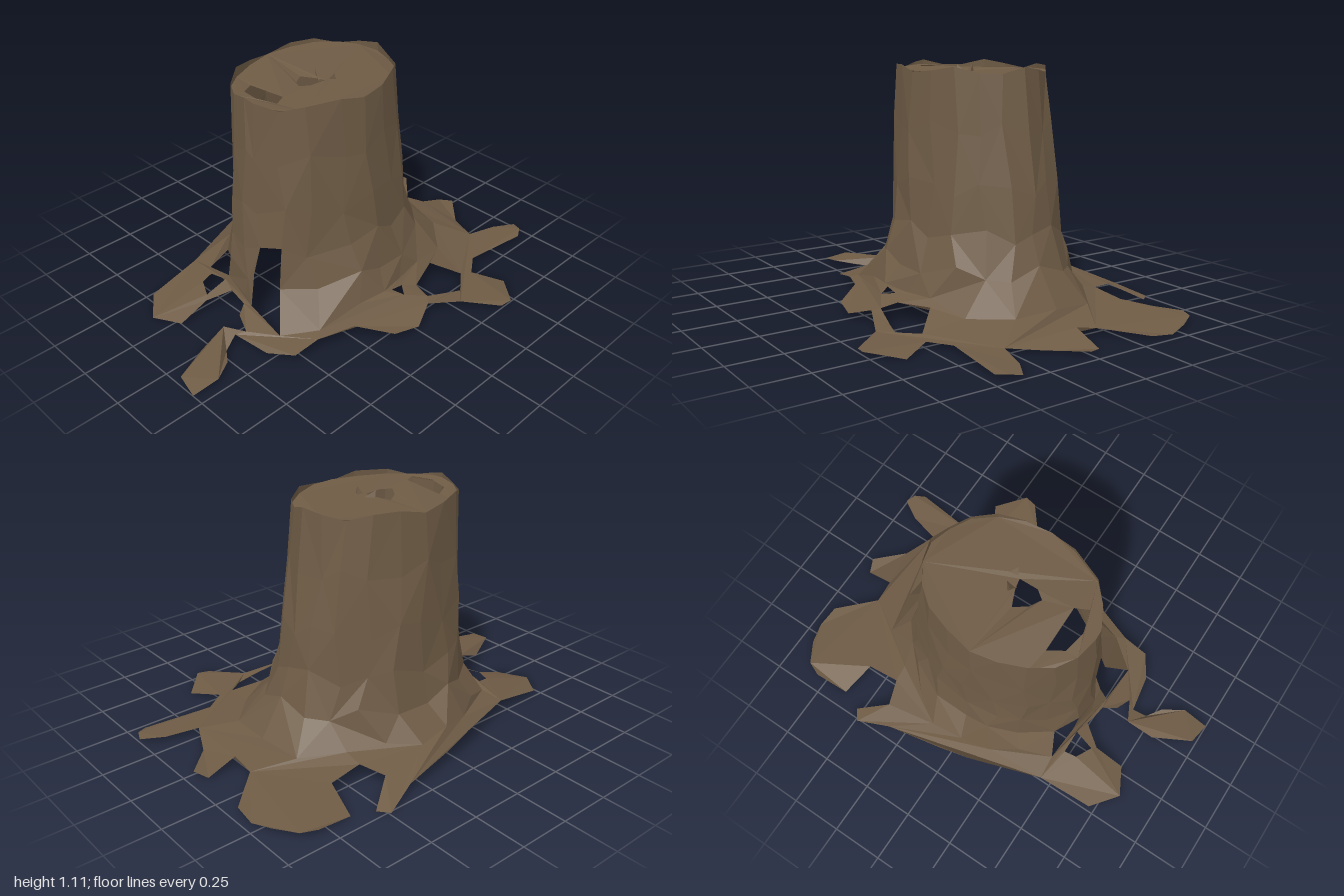
import * as THREE from 'three';

const V = (x, z) => new THREE.Vector2(x, z);
const pairs = (a) => { const out = []; for (let i = 0; i < a.length; i += 2) out.push(V(a[i], a[i + 1])); return out; };

// Columns around the trunk: angle from the front (degrees), radius at the flare
const COLUMNS = [[0, .46], [10, .5], [30, .58], [48, .54], [72, .46], [90, .46], [108, .45], [126, .5],
  [144, .62], [162, .68], [180, .66], [198, .66], [216, .56], [234, .5], [252, .52], [270, .48],
  [288, .47], [306, .46], [324, .52], [342, .46]];

// Trunk rings: height, centre x, centre z, half width, half depth
const RINGS = [[1.105, -.085, .015, .31, .405], [.85, -.085, .005, .325, .425], [.6, -.085, -.01, .345, .45],
  [.4, -.085, -.015, .36, .47], [.24, -.075, -.03, .4, .51]];

// Ground outline of the roots (x, z)
const OUTLINE_BACK = [-.07, -.78, -.07, -.92, 0, -.95, .13, -.82, .28, -.75, .32, -.9, .38, -1, .43, -.98, .46, -.93,
  .42, -.6, .49, -.5, .63, -.58, .76, -.46, .75, -.4, .6, -.28, .53, -.12, .58, 0, .55, .13, .41, .25];
const OUTLINE_FRONT = [.35, .42, .34, .55, .23, .62, .05, .65, .07, .72, .14, .77, .2, .87, .19, 1, .08, .98, -.01, .8,
  -.02, .66, .08, .61, 0, .58, -.04, .52, -.15, .5, -.22, .6, -.22, .75, -.35, .82, -.48, .72];
const OUTLINE_LEFT = [-.5, .45, -.62, .1, -.65, -.05, -.7, -.33, -.76, -.49, -.71, -.53, -.61, -.39, -.49, -.43,
  -.5, -.59, -.67, -.63, -.68, -.8, -.65, -.87, -.55, -.93, -.45, -.96, -.34, -.95, -.18, -.78];
// Gaps between the roots
const ROOT_GAPS = [
  [.36, -.33, .47, -.44, .54, -.35, .53, -.28, .5, -.15, .42, -.16],
  [.39, -.09, .44, -.05, .39, -.02],
  [-.33, .48, -.22, .48, -.24, .58, -.32, .54],
];
// Rotted holes in the cut face
const CAP_HOLES = [
  [-.14, .05, -.07, .02, -.02, .01, -.02, .1, -.05, .14, -.1, .11],
  [-.22, .27, -.01, .27, .02, .33, -.08, .36, -.18, .34],
];

const bark = new THREE.MeshStandardMaterial({ color: 0x6e5b45, flatShading: true, side: THREE.DoubleSide });

function makeMesh(name, geometry) {
  const g = geometry.index ? geometry.toNonIndexed() : geometry;
  g.computeVertexNormals();
  const mesh = new THREE.Mesh(g, bark);
  mesh.name = name;
  return mesh;
}

// Height of the root skirt, falling away from the trunk
function skirtHeight(x, z) {
  const r = Math.hypot(x + .08, (z - .02) * (z < 0 ? .8 : 1));
  return .026 + .4 * Math.max(0, .72 - r) + .012 * Math.sin(x * 19 + z * 13);
}

function flarePoint([deg, r]) {
  const a = THREE.MathUtils.degToRad(deg);
  const x = -.08 + r * Math.sin(a), z = .02 + r * Math.cos(a);
  return new THREE.Vector3(x, skirtHeight(x, z), z);
}

function ringPoint(level, i) {
  const [y, cx, cz, rx, rz] = RINGS[level];
  const wobble = level ? .022 * Math.sin(i * 2.6 + level * .9) : .01 * Math.sin(i * 2.6);
  const a = THREE.MathUtils.degToRad(COLUMNS[i][0]) + (level ? .05 * Math.sin(i * 1.7 + level * 2) : 0);
  const lift = level ? .035 * Math.sin(i * 2.1 + level * 1.4) : .017 * Math.sin(i * 1.9 + 1);
  return new THREE.Vector3(cx + rx * (1 + wobble) * Math.sin(a), y + lift, cz + rz * (1 + wobble) * Math.cos(a));
}

// Hollow trunk wall, left open between the front roots
function trunk() {
  const n = COLUMNS.length, last = RINGS.length, pos = [];
  const at = (l, i) => (l === last ? flarePoint(COLUMNS[i % n]) : ringPoint(l, i % n));
  const tri = (...p) => p.forEach((v) => pos.push(v.x, v.y, v.z));
  for (let l = 0; l < last; l++) {
    for (let i = 0; i < n; i++) {
      if ((i === 1 && l >= 3) || (i === 18 && l === 4)) continue;
      const a = at(l, i), b = at(l, i + 1), c = at(l + 1, i), d = at(l + 1, i + 1);
      if ((i + l) % 2) { tri(a, c, b); tri(b, c, d); } else { tri(a, c, d); tri(a, d, b); }
    }
  }
  const g = new THREE.BufferGeometry();
  g.setAttribute('position', new THREE.Float32BufferAttribute(pos, 3));
  return makeMesh('trunk', g);
}

// Flat shape with holes laid on the ground plane, then lifted by a height rule
function sheet(name, outline, holes, height) {
  const flip = (pts) => pts.map((p) => V(p.x, -p.y));
  const shape = new THREE.Shape(flip(outline));
  holes.forEach((h) => shape.holes.push(new THREE.Path(flip(h))));
  const g = new THREE.ShapeGeometry(shape);
  g.rotateX(-Math.PI / 2);
  const p = g.attributes.position;
  for (let i = 0; i < p.count; i++) p.setY(i, height(p.getX(i), p.getZ(i)));
  return makeMesh(name, g);
}

export function createModel() {
  const stump = new THREE.Group();
  stump.name = 'treeStump';
  stump.add(trunk());

  // Spreading roots, joined to the foot of the trunk
  const foot = COLUMNS.map((c) => { const p = flarePoint(c); return V(p.x, p.z); });
  const outline = pairs([...OUTLINE_BACK, ...OUTLINE_FRONT, ...OUTLINE_LEFT]);
  stump.add(sheet('roots', outline, [foot, ...ROOT_GAPS.map(pairs)], skirtHeight));

  // Cut face, just below the jagged rim
  const rim = COLUMNS.map((c, i) => { const p = ringPoint(0, i); return V(p.x, p.z); });
  stump.add(sheet('cutFace', rim, CAP_HOLES.map(pairs), (x, z) => 1.085 + .012 * Math.sin(x * 9 + z * 5)));

  // Splinters beside the rotted hole
  [[-.08, .0, .5], [0, -.02, -.4]].forEach(([x, z, turn]) => {
    const splinter = makeMesh('splinter', new THREE.ConeGeometry(.03, .05, 3));
    splinter.position.set(x, 1.095, z);
    splinter.rotation.set(0, turn, turn);
    stump.add(splinter);
  });

  // Settle on the ground
  const low = new THREE.Box3().setFromObject(stump).min.y;
  stump.children.forEach((m) => { m.position.y -= low; });
  return stump;
}
